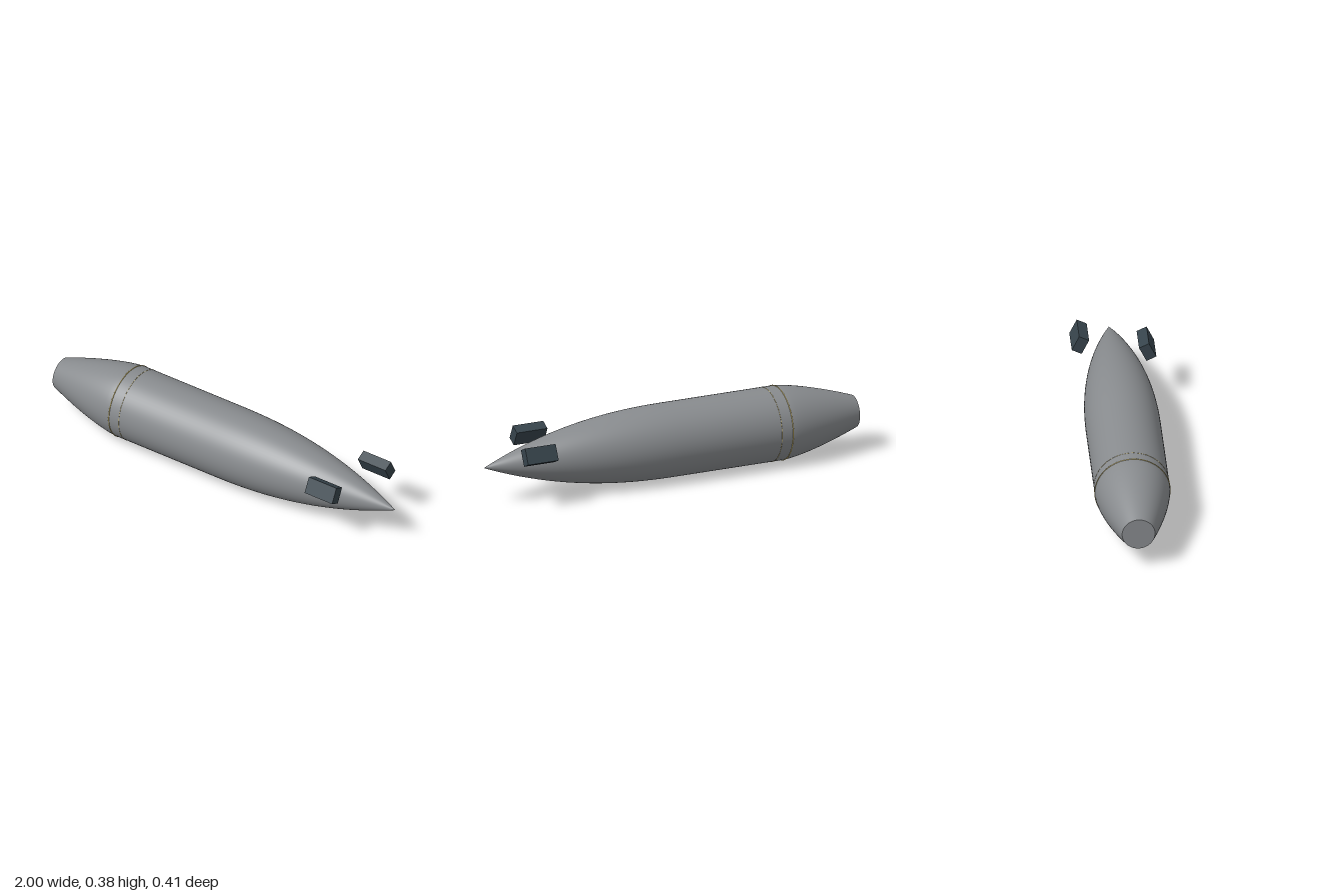
import * as THREE from 'three';

const R = 0.185, AXIS_Y = 0.1885, TAIL_X = -1, TAIL_R = 0.081, SHOULDER_X = -0.59;

function material(name, color) {
  const m = new THREE.MeshStandardMaterial({ color });
  m.name = name;
  return m;
}

// Hull radius at a position along the length
function hullRadius(x) {
  if (x < SHOULDER_X) {
    const t = (SHOULDER_X - x) / (SHOULDER_X - TAIL_X);
    return R - (R - TAIL_R) * Math.pow(t, 1.4);
  }
  return x > 0 ? R * (1 - Math.pow(x, 2.2)) : R;
}

export function createModel() {
  const group = new THREE.Group();
  group.name = 'torpedoHull';
  const grey = material('hull grey', 0x888b8e);
  const slate = material('dark slate', 0x37444c);
  const gold = material('pale gold', 0xc8b468);

  const add = (name, geometry, mat, x, y, z) => {
    const mesh = new THREE.Mesh(geometry, mat);
    mesh.name = name;
    mesh.position.set(x, y, z);
    group.add(mesh);
    return mesh;
  };

  // Hull: tapered tail, straight middle and pointed nose, turned about x
  const profile = [];
  for (let i = 0; i <= 12; i++) profile.push(TAIL_X + (SHOULDER_X - TAIL_X) * i / 12);
  for (let i = 0; i <= 32; i++) profile.push(i / 32);
  const points = profile.map(x => new THREE.Vector2(Math.max(0, hullRadius(x)), x));
  add('hull', new THREE.LatheGeometry(points, 64).rotateZ(-Math.PI / 2), grey, 0, AXIS_Y, 0);

  // Flat end of the tail
  add('tailCap', new THREE.CircleGeometry(TAIL_R, 64).rotateY(-Math.PI / 2), grey, TAIL_X, AXIS_Y, 0);

  // Thin seam rings around the shoulder
  for (const [x, tube] of [[SHOULDER_X, 0.0025], [-0.53, 0.001]]) {
    add('seamRing', new THREE.TorusGeometry(R, tube, 8, 64).rotateY(Math.PI / 2), gold, x, AXIS_Y, 0);
  }

  // Two tilted pods beside the nose, staggered along the length
  for (const [name, x, side] of [['frontPod', 0.682, 1], ['rearPod', 0.773, -1]]) {
    const pod = add(name, new THREE.BoxGeometry(0.165, 0.083, 0.054), slate, x, 0.272, side * 0.162);
    pod.rotation.x = -side * 0.455;
  }
  return group;
}
